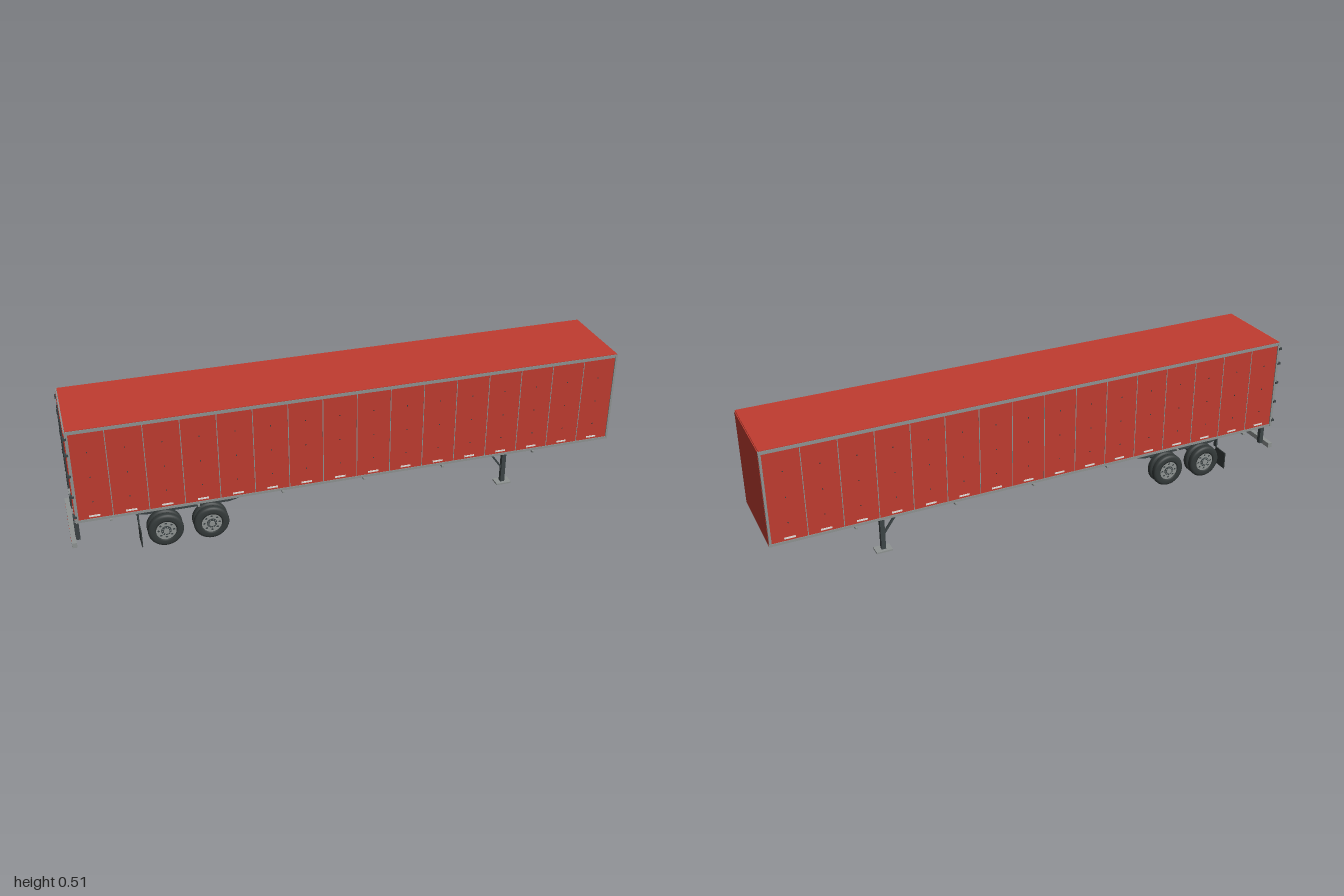
import * as THREE from 'three';

const mat = (name, color) => {
  const m = new THREE.MeshStandardMaterial({ color });
  m.name = name;
  return m;
};

export function createModel() {
  const red = mat('redPaint', 0xc03c30);
  const grey = mat('greyMetal', 0x8f9493);
  const dark = mat('darkSteel', 0x3c4446);
  const rubber = mat('rubber', 0x343a3a);
  const white = mat('whiteTape', 0xe4e2de);
  const root = new THREE.Group();
  root.name = 'boxTrailer';

  const add = (name, geo, m, x, y, z, parent = root) => {
    const mesh = new THREE.Mesh(geo, m);
    mesh.name = name;
    mesh.position.set(x, y, z);
    parent.add(mesh);
    return mesh;
  };
  // Box given by its two extremes on each axis
  const box = (name, m, x0, x1, y0, y1, z0, z1, parent = root) =>
    add(name, new THREE.BoxGeometry(x1 - x0, y1 - y0, z1 - z0), m,
      (x0 + x1) / 2, (y0 + y1) / 2, (z0 + z1) / 2, parent);
  // Box copied to both sides of the trailer, z0 < z1 measured on the +z side
  const pair = (name, m, x0, x1, y0, y1, z0, z1) => {
    box(name + 'Left', m, x0, x1, y0, y1, -z1, -z0);
    box(name + 'Right', m, x0, x1, y0, y1, z0, z1);
  };

  // Cargo body and roof
  box('cargoBody', red, -0.974, 0.993, 0.155, 0.504, -0.1565, 0.1565);
  box('roof', red, -0.974, 0.994, 0.504, 0.508, -0.1575, 0.1575);
  box('frontPanel', red, 0.993, 0.997, 0.155, 0.504, -0.153, 0.153);

  // Grey edge rails and corner posts
  pair('topRail', grey, -0.974, 0.997, 0.494, 0.506, 0.155, 0.159);
  pair('bottomRail', grey, -0.974, 0.997, 0.155, 0.164, 0.155, 0.159);
  pair('frontPost', grey, 0.988, 0.996, 0.155, 0.505, 0.153, 0.16);
  pair('rearPost', grey, -0.977, -0.967, 0.155, 0.505, 0.152, 0.16);

  // Side panels: seams, rivets and reflective tape
  const panel = 1.962 / 16, start = -0.974;
  const rivet = new THREE.BoxGeometry(0.003, 0.004, 0.002);
  for (let i = 0; i < 16; i++) {
    const x = start + i * panel, mid = x + panel / 2;
    if (i > 0) pair('panelSeam', grey, x - 0.0014, x + 0.0014, 0.164, 0.494, 0.156, 0.1572);
    pair('sideTape', white, mid - 0.019, mid + 0.019, 0.171, 0.177, 0.156, 0.1585);
    for (const s of [-1, 1]) {
      for (const y of [0.23, 0.325, 0.42]) add('rivet', rivet, dark, mid, y, s * 0.157);
    }
  }

  // Rear doors with lock rods and hinges
  pair('rearDoor', red, -0.98, -0.973, 0.165, 0.495, 0.0015, 0.15);
  box('doorGap', dark, -0.976, -0.973, 0.165, 0.495, -0.0015, 0.0015);
  box('rearHeader', grey, -0.979, -0.972, 0.496, 0.506, -0.153, 0.153);
  box('rearSill', grey, -0.981, -0.972, 0.155, 0.164, -0.153, 0.153);
  for (const s of [-1, 1]) {
    add('lockRod', new THREE.CylinderGeometry(0.0025, 0.0025, 0.335, 10), dark, -0.9825, 0.33, s * 0.055);
    box('lockHandle', grey, -0.986, -0.98, 0.228, 0.233, s * 0.075 - 0.025, s * 0.075 + 0.025);
    for (const y of [0.18, 0.26, 0.34, 0.42, 0.48]) {
      box('hinge', dark, -0.985, -0.972, y - 0.004, y + 0.004, s * 0.151 - 0.011, s * 0.151 + 0.011);
    }
  }

  // Chassis rails as I-beams, with cross members
  pair('railWeb', dark, -0.975, 0.91, 0.127, 0.148, 0.097, 0.103);
  pair('railTop', dark, -0.975, 0.91, 0.145, 0.149, 0.09, 0.11);
  pair('railBottom', dark, -0.975, 0.91, 0.125, 0.129, 0.09, 0.11);
  for (const x of [-0.86, -0.56, -0.26, 0.04, 0.34, 0.7]) {
    box('crossMember', grey, x - 0.004, x + 0.004, 0.135, 0.142, -0.147, 0.147);
  }
  box('couplingPlate', dark, 0.75, 0.86, 0.143, 0.15, -0.097, 0.097);
  add('kingpin', new THREE.CylinderGeometry(0.0065, 0.005, 0.036, 16), grey, 0.81, 0.127, 0);

  // Landing gear
  for (const s of [-1, 1]) {
    box('landingLeg', dark, 0.592, 0.608, 0.005, 0.148, s * 0.104 - 0.008, s * 0.104 + 0.008);
    box('landingFoot', grey, 0.572, 0.63, 0.001, 0.007, s * 0.104 - 0.02, s * 0.104 + 0.02);
    const brace = add('legBrace', new THREE.BoxGeometry(0.086, 0.007, 0.007), dark, 0.574, 0.094, s * 0.104);
    brace.rotation.z = -Math.atan2(0.07, 0.05);
  }
  box('legCrossBeam', dark, 0.594, 0.606, 0.106, 0.124, -0.1, 0.1);

  // Bogie
  const side = new THREE.Shape();
  [[-0.775, 0.126], [-0.775, 0.114], [-0.74, 0.106], [-0.445, 0.106], [-0.41, 0.114], [-0.41, 0.126]]
    .forEach(([x, y], i) => (i ? side.lineTo(x, y) : side.moveTo(x, y)));
  add('bogieFrame', new THREE.ExtrudeGeometry(side, { depth: 0.196, bevelEnabled: false }), dark, 0, 0, -0.098);

  // Wheels: lathed about their axle, turned to lie along z
  const tyreGeo = new THREE.LatheGeometry(
    [[0.036, -0.011], [0.042, -0.0125], [0.053, -0.0125], [0.06, -0.01], [0.0625, -0.005], [0.0625, 0.005],
      [0.06, 0.01], [0.053, 0.0125], [0.042, 0.0125], [0.036, 0.011], [0.034, 0], [0.036, -0.011]]
      .map(([r, y]) => new THREE.Vector2(r, y)), 36).rotateX(Math.PI / 2);
  const rim = new THREE.Shape().absarc(0, 0, 0.0365, 0, Math.PI * 2);
  for (let i = 0; i < 8; i++) {
    const a = i * Math.PI / 4;
    rim.holes.push(new THREE.Path().absarc(Math.cos(a) * 0.027, Math.sin(a) * 0.027, 0.0045, 0, Math.PI * 2, true));
  }
  const rimGeo = new THREE.ExtrudeGeometry(rim, { depth: 0.003, bevelEnabled: false, curveSegments: 12 });
  const disc = (r, d, n = 24) => new THREE.CylinderGeometry(r, r, d, n).rotateX(Math.PI / 2);
  const backGeo = disc(0.0355, 0.01), ringGeo = disc(0.018, 0.004);
  const hubGeo = disc(0.01, 0.012), nutGeo = disc(0.0018, 0.004, 6);

  for (const x of [-0.68, -0.52]) {
    add('axle', disc(0.008, 0.25, 16), dark, x, 0.064, 0);
    for (const s of [-1, 1]) {
      box('axleHanger', dark, x - 0.012, x + 0.012, 0.064, 0.11, s * 0.085 - 0.006, s * 0.085 + 0.006);
      const wheel = new THREE.Group();
      wheel.name = 'dualWheel';
      wheel.position.set(x, 0.064, 0);
      if (s < 0) wheel.rotation.y = Math.PI;
      root.add(wheel);
      for (const z of [0.112, 0.143]) {
        add('tyre', tyreGeo, rubber, 0, 0, z, wheel);
        add('wheelCore', backGeo, dark, 0, 0, z, wheel);
      }
      add('rim', rimGeo, grey, 0, 0, 0.15, wheel);
      add('hubRing', ringGeo, dark, 0, 0, 0.153, wheel);
      add('hub', hubGeo, grey, 0, 0, 0.153, wheel);
      for (let i = 0; i < 10; i++) {
        const a = i * Math.PI / 5;
        add('wheelNut', nutGeo, grey, Math.cos(a) * 0.0145, Math.sin(a) * 0.0145, 0.155, wheel);
      }
    }
  }

  // Mud flaps on hanger bars
  pair('mudFlap', rubber, -0.769, -0.765, 0.018, 0.084, 0.1, 0.163);
  pair('flapHanger', dark, -0.77, -0.764, 0.084, 0.12, 0.088, 0.104);

  // Rear underride guard
  pair('guardPost', dark, -0.984, -0.968, 0.055, 0.15, 0.093, 0.109);
  box('guardBar', grey, -1, -0.983, 0.05, 0.069, -0.147, 0.147);
  for (let i = 0; i < 4; i++) {
    const z = -0.105 + i * 0.07;
    box('guardTape', red, -1.0005, -0.999, 0.056, 0.063, z - 0.012, z + 0.012);
  }
  return root;
}
